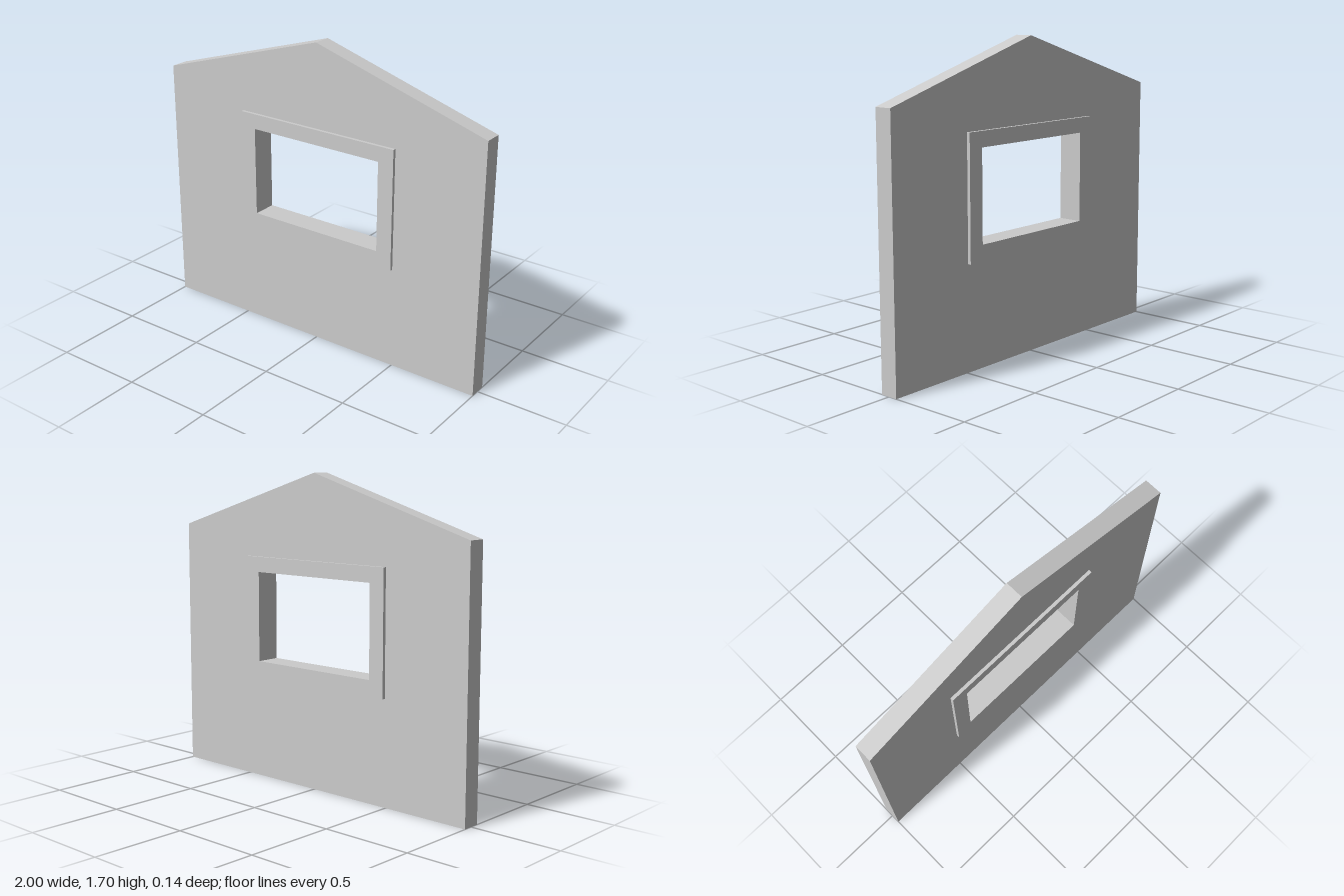
import * as THREE from 'three';

const WALL_HALF = 0.05; // half the wall thickness
const TRIM_DEPTH = 0.018; // how far the trim stands proud of the wall
const OPENING = [-0.4, 0.66, 0.4, 1.158];
const TRIM = [-0.49, 0.572, 0.49, 1.242];

function rectPoints([x0, y0, x1, y1]) {
  return [[x0, y0], [x1, y0], [x1, y1], [x0, y1]].map(([x, y]) => new THREE.Vector2(x, y));
}

// Flat panel with the window opening cut through, from z0 to z0 + depth
function panel(name, outline, z0, depth, material) {
  const shape = new THREE.Shape(outline);
  shape.holes.push(new THREE.Path(rectPoints(OPENING)));
  const geometry = new THREE.ExtrudeGeometry(shape, { depth, bevelEnabled: false });
  geometry.translate(0, 0, z0);
  const mesh = new THREE.Mesh(geometry, material);
  mesh.name = name;
  return mesh;
}

export function createModel() {
  const model = new THREE.Group();
  model.name = 'gableWallWithWindow';
  const material = new THREE.MeshStandardMaterial({ color: 0xcccccc, flatShading: true });

  // Gabled wall
  const gable = [[-1, 0], [1, 0], [1, 1.4], [0, 1.703], [-1, 1.4]]
    .map(([x, y]) => new THREE.Vector2(x, y));
  model.add(panel('gableWall', gable, -WALL_HALF, 2 * WALL_HALF, material));

  // Window trim on both faces
  model.add(panel('frontWindowTrim', rectPoints(TRIM), WALL_HALF, TRIM_DEPTH, material));
  model.add(panel('backWindowTrim', rectPoints(TRIM), -WALL_HALF - TRIM_DEPTH, TRIM_DEPTH, material));

  return model;
}
